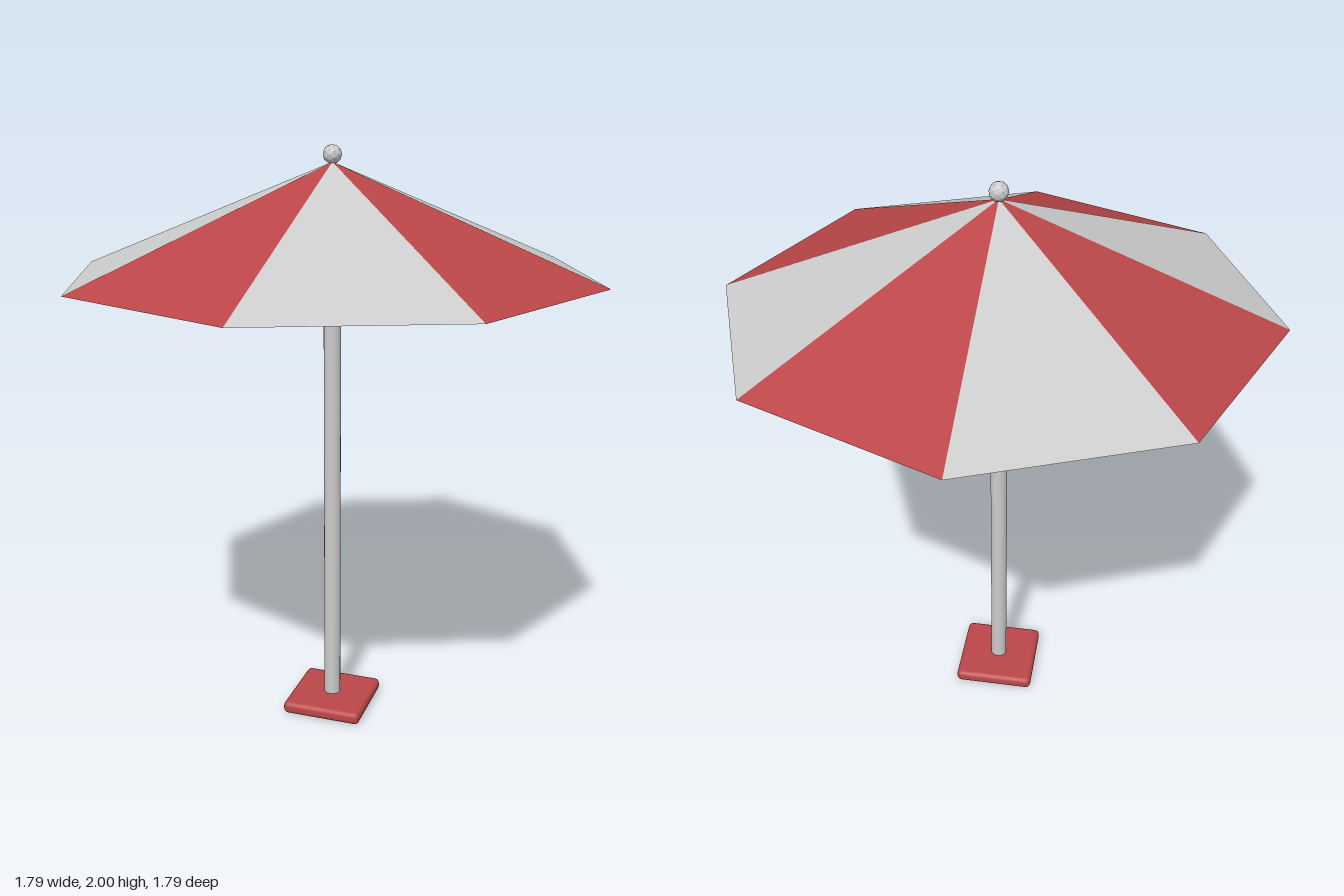
import * as THREE from 'three';
import { RoundedBoxGeometry } from 'three/addons/geometries/RoundedBoxGeometry.js';

const GREY = 0xcccccc, RED = 0xbb4648;

export function createModel() {
  const model = new THREE.Group();
  const add = (name, geometry, y, color, options = {}, parent = model) => {
    const mesh = new THREE.Mesh(geometry, new THREE.MeshStandardMaterial({ color, ...options }));
    mesh.name = name;
    mesh.position.y = y;
    parent.add(mesh);
    return mesh;
  };

  // Square foot with softened edges
  add('base', new RoundedBoxGeometry(0.285, 0.045, 0.285, 3, 0.018), 0.0275 - 0.005, RED);

  // Pole from the foot up into the canopy
  add('pole', new THREE.CylinderGeometry(0.029, 0.029, 1.89, 20), 0.975, GREY);

  // Eight thin triangular panels in alternating colours
  const canopy = new THREE.Group();
  canopy.name = 'canopy';
  model.add(canopy);
  const sides = 8, radius = 0.895, rimY = 1.585, apexY = 1.945;
  const step = (Math.PI * 2) / sides;
  for (let i = 0; i < sides; i++) {
    const a = i * step, b = a + step;
    const panel = new THREE.BufferGeometry().setFromPoints([
      new THREE.Vector3(0, apexY - rimY, 0),
      new THREE.Vector3(Math.cos(b) * radius, 0, Math.sin(b) * radius),
      new THREE.Vector3(Math.cos(a) * radius, 0, Math.sin(a) * radius),
    ]);
    panel.computeVertexNormals();
    add('canopyPanel', panel, rimY, i % 2 ? GREY : RED,
      { side: THREE.DoubleSide, flatShading: true }, canopy);
  }

  // Faceted ball on the tip
  add('finial', new THREE.IcosahedronGeometry(0.031, 1), 1.969, GREY, { flatShading: true });

  return model;
}
